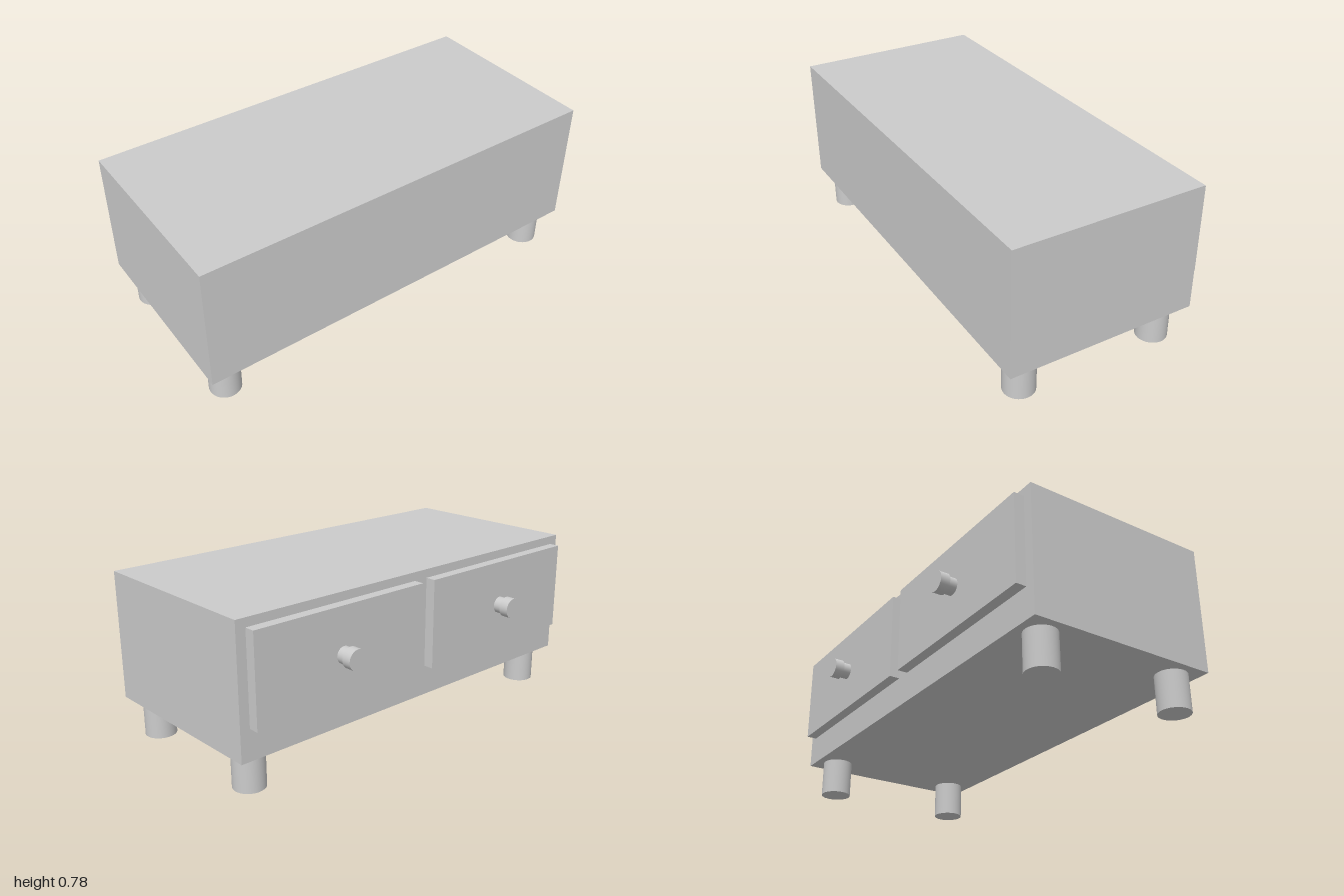
import * as THREE from 'three';

export function createModel() {
  const group = new THREE.Group();
  const material = new THREE.MeshStandardMaterial({ color: 0xcccccc });

  function add(name, geometry, x, y, z, parent = group) {
    const mesh = new THREE.Mesh(geometry, material);
    mesh.name = name;
    mesh.position.set(x, y, z);
    parent.add(mesh);
    return mesh;
  }

  // Cabinet body
  add('body', new THREE.BoxGeometry(0.915, 0.604, 2), 0.067, 0.477, 0);

  // Round legs near the four corners
  const legGeometry = new THREE.CylinderGeometry(0.073, 0.073, 0.175, 32);
  for (const [xName, x] of [['Right', -0.281], ['Left', 0.415]]) {
    for (const [zName, z] of [['front', 0.891], ['back', -0.891]]) {
      add(`${zName}${xName}Leg`, legGeometry, x, 0.0875, z);
    }
  }

  // Two drawers on the -x side, each with a stepped round knob
  const panelGeometry = new THREE.BoxGeometry(0.049, 0.421, 0.917);
  const neckGeometry = new THREE.CylinderGeometry(0.039, 0.039, 0.043, 32).rotateZ(Math.PI / 2);
  const capGeometry = new THREE.CylinderGeometry(0.048, 0.048, 0.045, 32).rotateZ(Math.PI / 2);
  for (const [name, side] of [['frontDrawer', 1], ['backDrawer', -1]]) {
    const drawer = new THREE.Group();
    drawer.name = name;
    group.add(drawer);
    add('drawerPanel', panelGeometry, -0.4155, 0.5285, side * 0.495, drawer);
    add('knobNeck', neckGeometry, -0.4605, 0.525, side * 0.5, drawer);
    add('knobCap', capGeometry, -0.5035, 0.525, side * 0.5, drawer);
  }

  return group;
}
